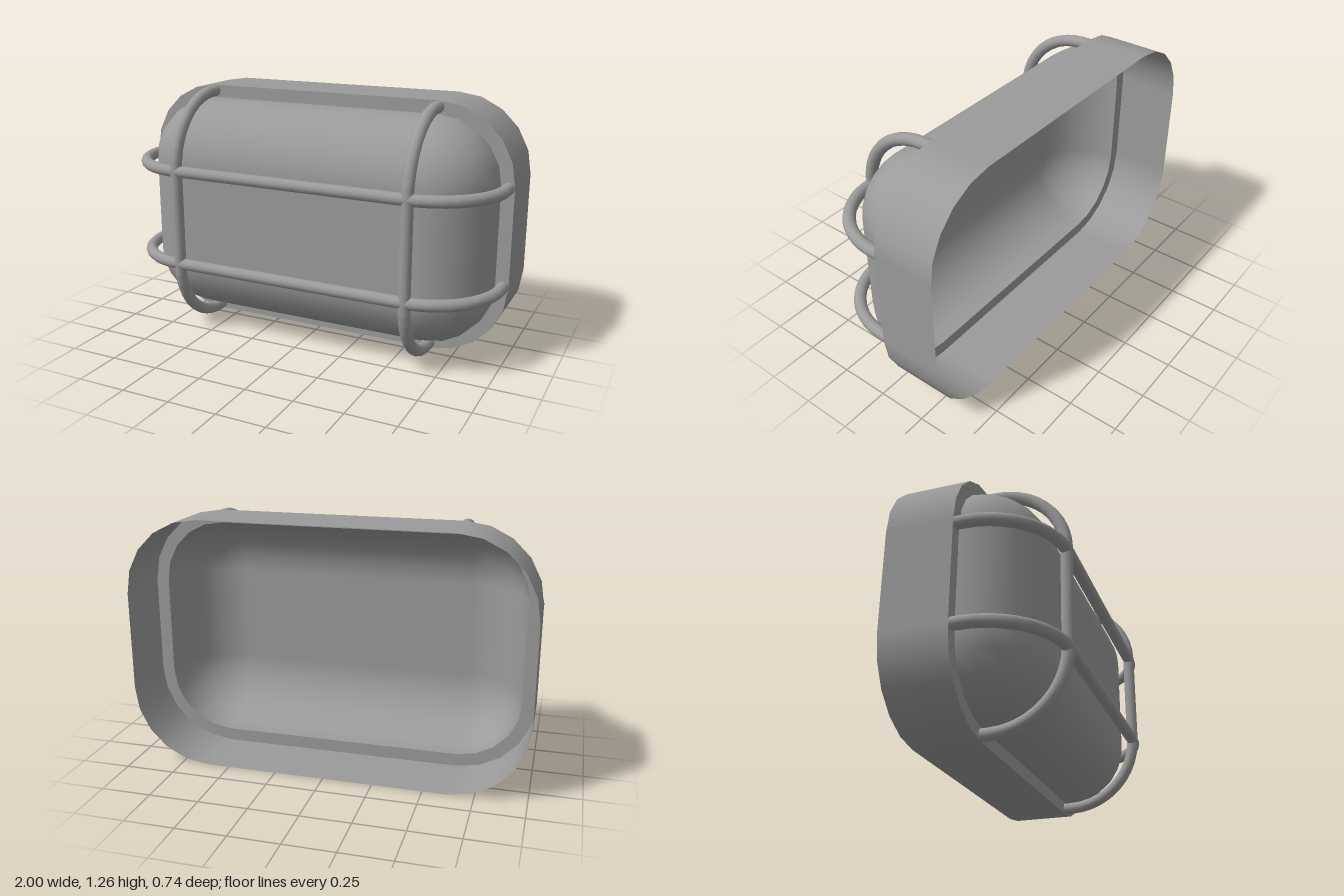
import * as THREE from 'three';

const HX = 0.615, HY = 0.2475, CY = 0.6325; // corner centres shared by every outline
const FLANGE_Z = -0.05;
const LENS_DEPTH = 0.323;
const material = new THREE.MeshStandardMaterial({ color: 0x9b9b9b, side: THREE.DoubleSide });

// Skin a stack of rounded-rectangle rings; each ring is [radius, z, normalOut, normalZ]
function loft(name, rings, seg = 5) {
  const pos = [], nor = [], idx = [];
  const n = 4 * (seg + 1);
  for (const [r, z, nr, nz] of rings) {
    for (let q = 0; q < 4; q++) {
      const cx = q === 0 || q === 3 ? HX : -HX;
      const cy = q < 2 ? HY : -HY;
      for (let i = 0; i <= seg; i++) {
        const a = (q + i / seg) * Math.PI / 2;
        pos.push(cx + r * Math.cos(a), CY + cy + r * Math.sin(a), z);
        nor.push(nr * Math.cos(a), nr * Math.sin(a), nz);
      }
    }
  }
  for (let k = 0; k < rings.length - 1; k++) {
    for (let i = 0; i < n; i++) {
      const a = k * n + i, b = k * n + (i + 1) % n;
      idx.push(a, b, b + n, a, b + n, a + n);
    }
  }
  const geo = new THREE.BufferGeometry();
  geo.setAttribute('position', new THREE.Float32BufferAttribute(pos, 3));
  geo.setAttribute('normal', new THREE.Float32BufferAttribute(nor, 3));
  geo.setIndex(idx);
  const mesh = new THREE.Mesh(geo, material);
  mesh.name = name;
  return mesh;
}

// Guard bar: straight legs, quarter bends and a straight front run, in (u, z)
function guardBar(name, half, toPoint) {
  const bend = 0.355, z0 = -0.013, steps = 10;
  const side = [[half + bend, FLANGE_Z]];
  for (let i = 0; i <= steps; i++) {
    const a = i / steps * Math.PI / 2;
    side.push([half + bend * Math.cos(a), z0 + bend * Math.sin(a)]);
  }
  const pts = [...side, ...side.slice().reverse().map(([u, z]) => [-u, z])]
    .map(([u, z]) => toPoint(u, z));
  const path = new THREE.CurvePath();
  for (let i = 1; i < pts.length; i++) path.add(new THREE.LineCurve3(pts[i - 1], pts[i]));
  const mesh = new THREE.Mesh(new THREE.TubeGeometry(path, 120, 0.03, 12), material);
  mesh.name = name;
  return mesh;
}

export function createModel() {
  const model = new THREE.Group();
  model.name = 'bulkheadLamp';

  // Open-backed housing with a flat front flange
  const housing = new THREE.Group();
  housing.name = 'housing';
  housing.add(
    loft('housingWall', [[0.385, -0.37, 1, 0], [0.385, FLANGE_Z, 1, 0]]),
    loft('housingFlange', [[0.385, FLANGE_Z, 0, 1], [0.32, FLANGE_Z, 0, 1]]),
  );
  model.add(housing);

  // Domed lens: quarter-round edge closed by a flat front panel
  const lens = new THREE.Group();
  lens.name = 'lens';
  const rings = [];
  for (let i = 0; i <= 6; i++) {
    const a = i / 6 * Math.PI / 2;
    rings.push([0.32 * Math.cos(a), FLANGE_Z + LENS_DEPTH * Math.sin(a), Math.cos(a), Math.sin(a)]);
  }
  const panel = new THREE.Mesh(new THREE.PlaneGeometry(2 * HX, 2 * HY), material);
  panel.name = 'lensFront';
  panel.position.set(0, CY, FLANGE_Z + LENS_DEPTH);
  lens.add(loft('lensDome', rings), panel);
  model.add(lens);

  // Wire guard: two upright and two level bars
  const guard = new THREE.Group();
  guard.name = 'guard';
  for (const s of [-1, 1]) {
    guard.add(
      guardBar('uprightBar', HY, (u, z) => new THREE.Vector3(s * HX, CY + u, z)),
      guardBar('levelBar', HX, (u, z) => new THREE.Vector3(u, CY + s * 0.245, z)),
    );
  }
  model.add(guard);
  return model;
}
